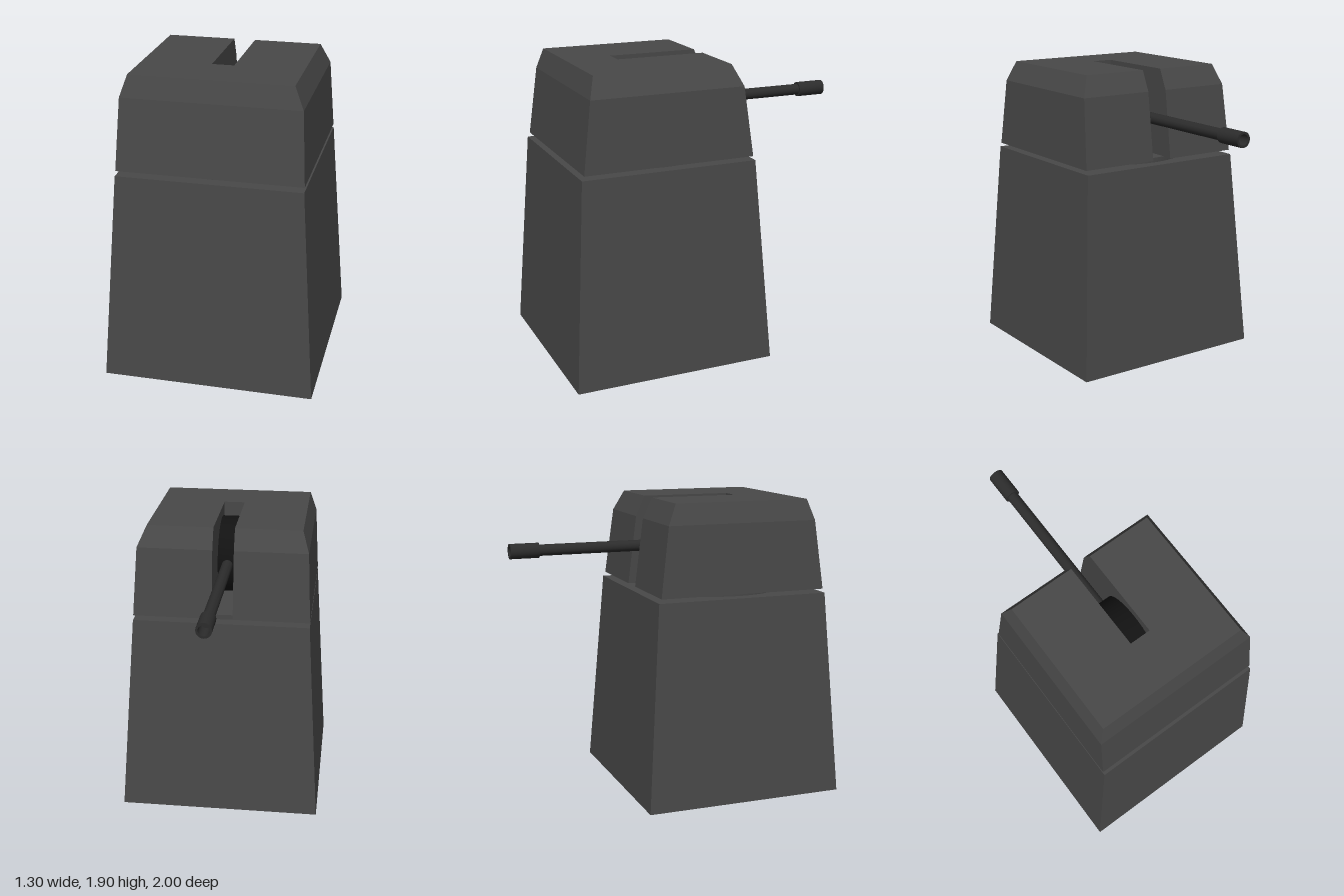
import * as THREE from 'three';
import { toCreasedNormals } from 'three/addons/utils/BufferGeometryUtils.js';

const CENTER_Z = 0.35;
const GUN_X = -0.0075;

// Closed solid through matching outlines of [x, z] points stacked at heights y.
function loft(levels) {
  const pos = [];
  const put = (l, i) => pos.push(l.pts[i][0], l.y, l.pts[i][1]);
  const n = levels[0].pts.length;
  for (let k = 0; k < levels.length - 1; k++) {
    const lo = levels[k], hi = levels[k + 1];
    for (let i = 0; i < n; i++) {
      const j = (i + 1) % n;
      put(lo, i); put(lo, j); put(hi, j);
      put(lo, i); put(hi, j); put(hi, i);
    }
  }
  const bottom = levels[0], top = levels[levels.length - 1];
  const cap = l => THREE.ShapeUtils.triangulateShape(
    l.pts.map(([x, z]) => new THREE.Vector2(x, -z)), []);
  for (const [a, b, c] of cap(top)) { put(top, a); put(top, b); put(top, c); }
  for (const [a, b, c] of cap(bottom)) { put(bottom, a); put(bottom, c); put(bottom, b); }
  const g = new THREE.BufferGeometry();
  g.setAttribute('position', new THREE.Float32BufferAttribute(pos, 3));
  g.computeVertexNormals();
  return g;
}

// Rectangle outline, optionally with a gun slot cut in from the back.
function outline(x0, x1, zBack, zFront, slot) {
  const cut = slot
    ? [[0.06, zBack], [0.06, 0.49], [-0.075, 0.49], [-0.075, zBack]]
    : [];
  return [[x1, zFront], [x1, zBack], ...cut, [x0, zBack], [x0, zFront]];
}

export function createModel() {
  const model = new THREE.Group();
  const armour = new THREE.MeshStandardMaterial({ color: 0x484848 });
  const gunMetal = new THREE.MeshStandardMaterial({ color: 0x2c2c2c });
  const black = new THREE.MeshStandardMaterial({ color: 0x121212 });

  const add = (name, geometry, material) => {
    const mesh = new THREE.Mesh(geometry, material);
    mesh.name = name;
    model.add(mesh);
    return mesh;
  };

  // Tapered square pedestal
  add('pedestal', loft([
    { y: 0, pts: outline(-0.652, 0.652, -0.305, 1.0) },
    { y: 1.31, pts: outline(-0.565, 0.565, -0.215, 0.91) },
  ]), armour);

  // Round bearing in the gap below the head
  const bearing = new THREE.CylinderGeometry(0.485, 0.485, 0.04, 48);
  add('turningRing', toCreasedNormals(bearing, 0.6), armour)
    .position.set(0, 1.32, CENTER_Z);

  // Head with chamfered top, slotted right through for the gun
  add('turretHead', loft([
    { y: 1.337, pts: outline(-0.565, 0.565, -0.2, 0.895, true) },
    { y: 1.775, pts: outline(-0.542, 0.54, -0.145, 0.838, true) },
    { y: 1.905, pts: outline(-0.5, 0.482, -0.085, 0.798, true) },
  ]), armour);

  // Gun pivot drum filling the slot
  const drum = new THREE.CylinderGeometry(0.25, 0.25, 0.132, 40).rotateZ(Math.PI / 2);
  add('pivotDrum', toCreasedNormals(drum, 0.6), black)
    .position.set(GUN_X, 1.592, CENTER_Z);

  // Barrel with a thicker, hollow muzzle, pointing backwards
  const profile = [
    [0, -0.2], [0.036, -0.2], [0.036, 0.815], [0.048, 0.815],
    [0.048, 1.0], [0.034, 1.0], [0.034, 0.88], [0, 0.88],
  ].map(([r, y]) => new THREE.Vector2(r, y));
  const barrel = new THREE.LatheGeometry(profile, 20).rotateX(-Math.PI / 2);
  add('gunBarrel', toCreasedNormals(barrel, 0.6), gunMetal)
    .position.set(GUN_X + 0.003, 1.593, 0);

  return model;
}
